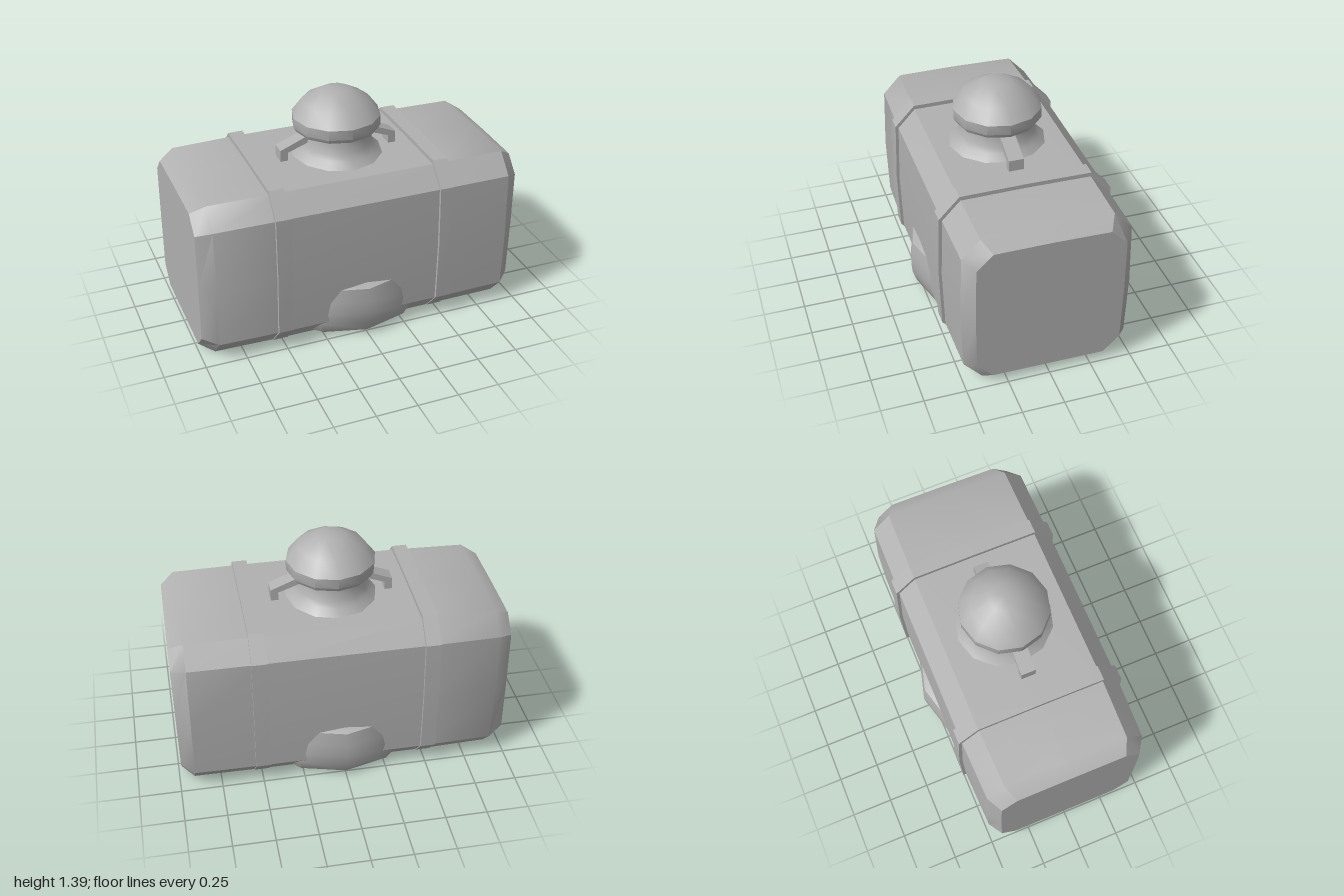
import * as THREE from 'three';
import { toCreasedNormals } from 'three/addons/utils/BufferGeometryUtils.js';

const CREASE = 0.6;

// Chamfered cross-section in the yz plane, running from +y towards +z.
// xAt gives the x position of each point from its height.
function ring(xAt, bottom, top, w, ch, bulge = 0.012) {
  const half = [
    [top, 0], [top - 0.004, w - ch], [top - ch, w - bulge], [(top + bottom) / 2, w],
    [bottom + ch, w - bulge], [bottom, w - ch], [bottom, 0],
  ];
  const back = half.slice(1, -1).reverse().map(([y, z]) => [y, -z]);
  return [...half, ...back].map(([y, z]) => new THREE.Vector3(xAt(y, z), y, z));
}

// Skin over a row of cross-sections (in order of rising x), closed at both ends.
function loft(rings) {
  const n = rings[0].length;
  const pos = [];
  const tri = (...pts) => pts.forEach((p) => pos.push(p.x, p.y, p.z));
  for (let i = 0; i < rings.length - 1; i++) {
    for (let j = 0; j < n; j++) {
      const k = (j + 1) % n;
      tri(rings[i][j], rings[i][k], rings[i + 1][j]);
      tri(rings[i][k], rings[i + 1][k], rings[i + 1][j]);
    }
  }
  const centre = (r) => r.reduce((s, p) => s.add(p), new THREE.Vector3()).divideScalar(n);
  const first = rings[0];
  const last = rings[rings.length - 1];
  const c0 = centre(first);
  const c1 = centre(last);
  for (let j = 0; j < n; j++) {
    const k = (j + 1) % n;
    tri(c0, first[k], first[j]);
    tri(c1, last[j], last[k]);
  }
  const geo = new THREE.BufferGeometry();
  geo.setAttribute('position', new THREE.Float32BufferAttribute(pos, 3));
  return toCreasedNormals(geo, CREASE);
}

// Turned part; the profile is [radius, y] from bottom to top.
function turned(profile, sides = 12) {
  const pts = profile.map(([r, y]) => new THREE.Vector2(r, y));
  return toCreasedNormals(new THREE.LatheGeometry(pts, sides), CREASE);
}

export function createModel() {
  const model = new THREE.Group();
  model.name = 'tank';
  const grey = new THREE.MeshStandardMaterial({ color: 0xb0b0b0 });
  grey.name = 'plain grey';

  const add = (name, geometry) => {
    const mesh = new THREE.Mesh(geometry, grey);
    mesh.name = name;
    model.add(mesh);
    return mesh;
  };

  // Long chamfered tank, with bevelled ends; the left end leans slightly
  add('tankBody', loft([
    ring(() => -1, 0.055, 0.945, 0.435, 0.1, 0.005),
    ring(() => -0.91, 0.003, 0.995, 0.495, 0.12),
    ring(() => -0.5, 0.003, 1.0, 0.507, 0.12),
    ring(() => 0.5, 0.003, 1.0, 0.507, 0.12),
    ring(() => 0.91, 0.003, 0.998, 0.502, 0.12),
    ring((y, z) => 0.98 + 0.015 * y - 0.01 * z, 0.055, 0.945, 0.435, 0.1, 0.005),
  ]));

  // Straps around the tank
  for (const x of [-0.51, 0.5]) {
    add(x > 0 ? 'leftStrap' : 'rightStrap', loft([
      ring(() => x - 0.045, 0, 1.025, 0.525, 0.135),
      ring(() => x + 0.045, 0, 1.025, 0.525, 0.135),
    ]));
  }

  // Round base swelling out of the lower front and back
  add('base', turned([
    [0, 0], [0.49, 0], [0.53, 0.03], [0.555, 0.1], [0.562, 0.17],
    [0.56, 0.25], [0.545, 0.33], [0.49, 0.355], [0, 0.36],
  ]));

  // Flared neck, a little deeper than wide
  const neck = add('neck', turned([
    [0.31, 0.98], [0.285, 1.005], [0.25, 1.035], [0.23, 1.07], [0.215, 1.12], [0.21, 1.17],
  ]));
  neck.scale.x = 0.94;

  // Domed cap with an upright rim
  add('cap', turned([
    [0, 1.15], [0.21, 1.15], [0.25, 1.155], [0.265, 1.18], [0.265, 1.24],
    [0.2, 1.325], [0.085, 1.39], [0, 1.392],
  ]));

  // Bent handles on either side of the neck
  const outline = [
    [0.17, 1.15], [0.365, 1.07], [0.365, 0.99], [0.32, 0.99], [0.32, 1.05], [0.17, 1.105],
  ].map(([x, y]) => new THREE.Vector2(x, y));
  const handle = new THREE.ExtrudeGeometry(new THREE.Shape(outline), { depth: 0.09, bevelEnabled: false });
  handle.translate(0, 0, -0.045);
  add('leftHandle', handle);
  add('rightHandle', handle).rotation.y = Math.PI;

  return model;
}
